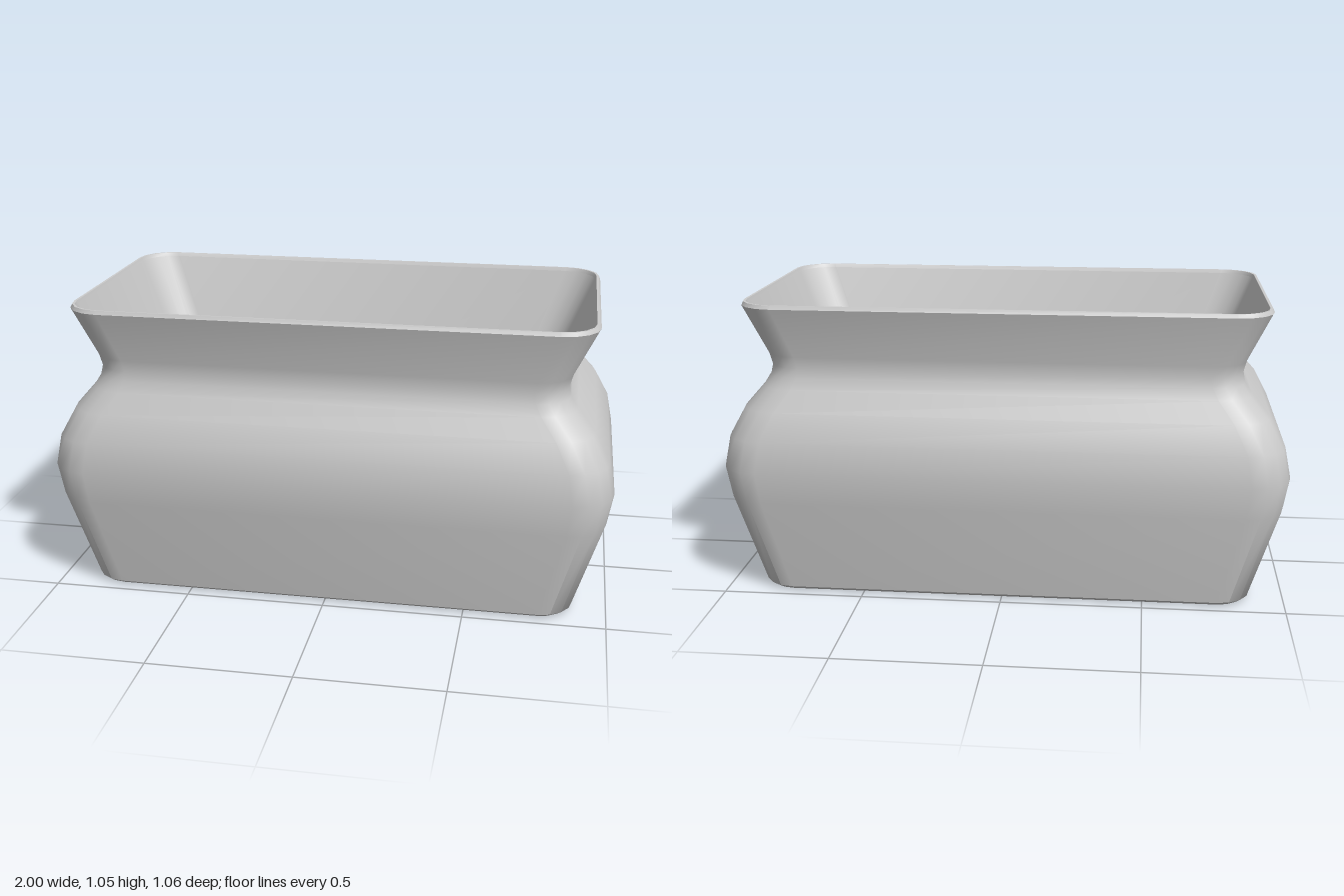
import * as THREE from 'three';
import { toCreasedNormals } from 'three/addons/utils/BufferGeometryUtils.js';

const CORNER_STEPS = 4;

// Rounded rectangle ring at height y, as a list of [x, y, z]
function ring([y, hx, hz, r]) {
  const pts = [];
  for (let q = 0; q < 4; q++) {
    const sx = q === 0 || q === 3 ? 1 : -1;
    const sz = q < 2 ? 1 : -1;
    for (let i = 0; i <= CORNER_STEPS; i++) {
      const a = (q + i / CORNER_STEPS) * Math.PI / 2;
      pts.push([sx * (hx - r) + r * Math.cos(a), y, sz * (hz - r) + r * Math.sin(a)]);
    }
  }
  return pts;
}

// Skin through the sections, optionally closed with a flat cap at either end
function loft(sections, capStart, capEnd) {
  const rings = sections.map(ring);
  const n = rings[0].length;
  const pos = rings.flat(2);
  const index = [];
  for (let s = 0; s < rings.length - 1; s++) {
    for (let i = 0; i < n; i++) {
      const j = (i + 1) % n;
      const a = s * n + i, b = s * n + j, c = a + n, d = b + n;
      index.push(a, c, b, b, c, d);
    }
  }
  const cap = (s, flip) => {
    const centre = pos.length / 3;
    pos.push(0, sections[s][0], 0);
    for (let i = 0; i < n; i++) {
      const a = s * n + i, b = s * n + (i + 1) % n;
      index.push(centre, flip ? b : a, flip ? a : b);
    }
  };
  if (capStart) cap(0, false);
  if (capEnd) cap(sections.length - 1, true);
  const g = new THREE.BufferGeometry();
  g.setAttribute('position', new THREE.Float32BufferAttribute(pos, 3));
  g.setIndex(index);
  return toCreasedNormals(g, 0.72);
}

export function createModel() {
  const group = new THREE.Group();
  group.name = 'planter';
  const material = new THREE.MeshStandardMaterial({ color: 0xcccccc });
  const add = (name, geometry) => {
    const mesh = new THREE.Mesh(geometry, material);
    mesh.name = name;
    group.add(mesh);
  };

  // Sections: height, half width, half depth, corner radius
  // Outside: bevelled foot, swelling belly, narrow neck, flared lip
  add('outerBody', loft([
    [0, 0.86, 0.445, 0.1],
    [0.015, 0.88, 0.466, 0.12],
    [0.345, 0.98, 0.52, 0.135],
    [0.46, 1.0, 0.53, 0.14],
    [0.57, 0.978, 0.52, 0.135],
    [0.67, 0.925, 0.49, 0.13],
    [0.745, 0.86, 0.456, 0.12],
    [0.785, 0.835, 0.444, 0.115],
    [0.82, 0.828, 0.44, 0.115],
    [0.86, 0.838, 0.444, 0.115],
    [1.035, 0.92, 0.488, 0.13],
  ], true, false));

  // Thin bevelled rim
  add('rim', loft([
    [1.035, 0.92, 0.488, 0.13],
    [1.048, 0.914, 0.482, 0.125],
    [1.048, 0.905, 0.476, 0.12],
    [1.035, 0.9, 0.471, 0.118],
  ], false, false));

  // Tapering cavity with a flat floor
  add('innerCavity', loft([
    [1.035, 0.9, 0.471, 0.118],
    [0.35, 0.605, 0.317, 0.085],
  ], false, true));

  return group;
}
